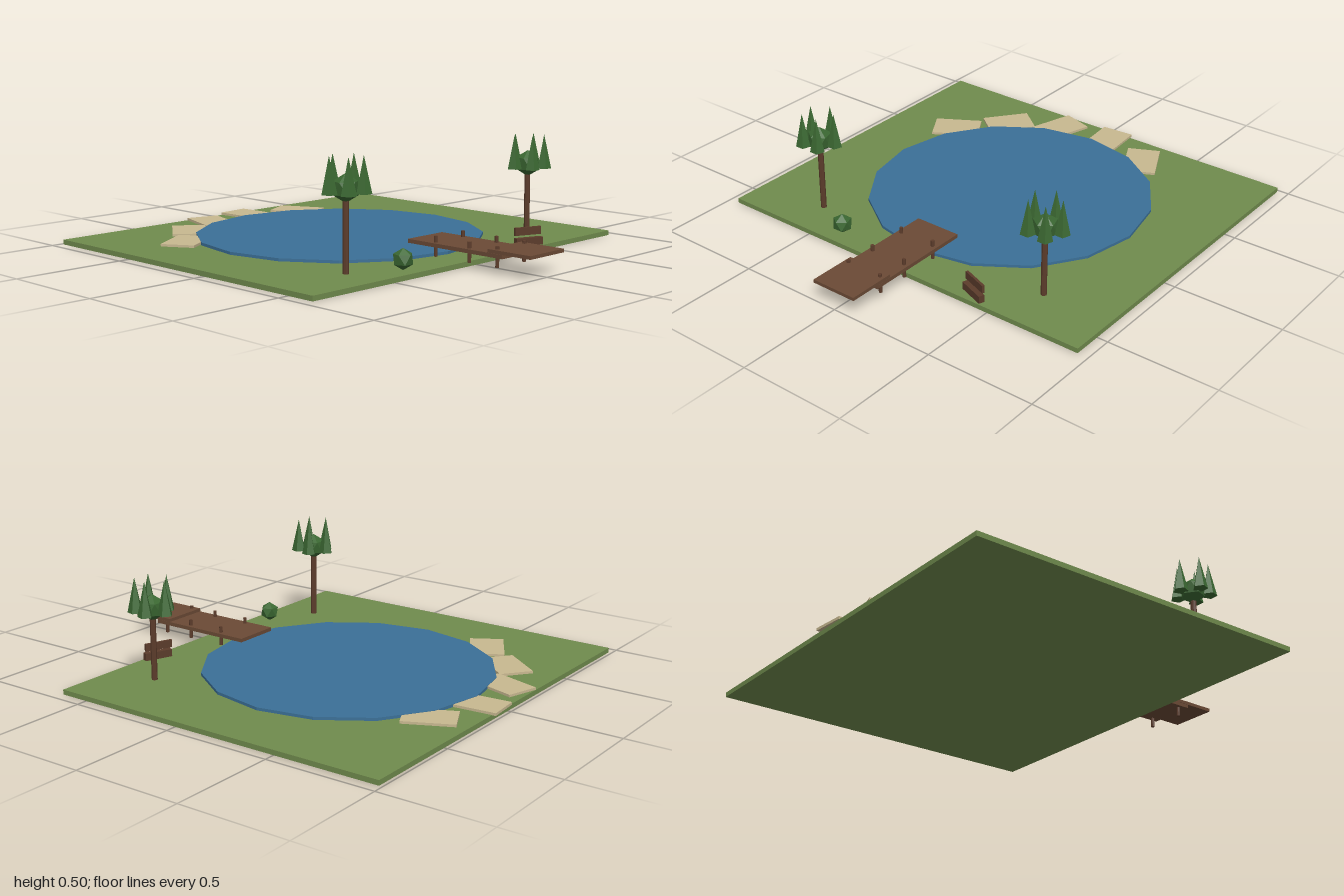
import * as THREE from 'three';

const mat = (name, color) => Object.assign(new THREE.MeshStandardMaterial({ color, flatShading: true }), { name });

export function createModel() {
  const grass = mat('grass', 0x708b4d);
  const water = mat('water', 0x3b7097);
  const sand = mat('sandstone', 0xc8b890);
  const plank = mat('plank wood', 0x6b4a35);
  const bark = mat('bark', 0x5c3c2b);
  const leaf = mat('leaves', 0x3b6832);

  const root = new THREE.Group();
  root.name = 'pondScene';

  const add = (parent, name, geo, m, x, y, z, ry = 0) => {
    const mesh = new THREE.Mesh(geo, m);
    mesh.name = name;
    mesh.position.set(x, y, z);
    mesh.rotation.y = ry;
    parent.add(mesh);
    return mesh;
  };
  const group = (name, x = 0, y = 0, z = 0, ry = 0) => {
    const g = new THREE.Group();
    g.name = name;
    g.position.set(x, y, z);
    g.rotation.y = ry;
    root.add(g);
    return g;
  };
  // Twenty-sided ball standing on a vertex
  const ball = (r) => new THREE.IcosahedronGeometry(r, 0)
    .rotateZ(Math.atan(2 / (1 + Math.sqrt(5))))
    .rotateY(Math.PI / 2);

  // Ground and pond
  add(root, 'ground', new THREE.BoxGeometry(1.9, 0.022, 1.62), grass, 0, 0.011, -0.175);
  add(root, 'pond', new THREE.CylinderGeometry(0.656, 0.656, 0.014, 16), water, 0, 0.028, -0.182);

  // Flat stones along the far shore: x, z and direction of the long side
  const stones = group('shoreStones');
  const stoneGeo = new THREE.BoxGeometry(0.228, 0.012, 0.155);
  [
    [-0.608, -0.535, 0.2, -0.12],
    [-0.432, -0.735, -0.14, 0.18],
    [-0.2, -0.853, -0.065, 0.215],
    [0.062, -0.882, 0.017, 0.22],
    [0.315, -0.803, 0.1, 0.205],
  ].forEach(([x, z, dx, dz], i) =>
    add(stones, 'stone' + (i + 1), stoneGeo, sand, x, 0.027, z, Math.atan2(-dz, dx)));

  // Dock: two overlapping decks on three pairs of posts
  const dock = group('dock');
  add(dock, 'innerDeck', new THREE.BoxGeometry(0.22, 0.017, 0.515), plank, 0, 0.078, 0.6);
  add(dock, 'outerDeck', new THREE.BoxGeometry(0.22, 0.015, 0.22), plank, 0, 0.0945, 0.89);
  const postGeo = new THREE.CylinderGeometry(0.008, 0.008, 0.088, 8);
  for (const z of [0.482, 0.667, 0.815])
    for (const x of [-0.088, 0.088]) add(dock, 'dockPost', postGeo, bark, x, 0.07, z);

  // Trees: a trunk, a round core and a ring of five narrow cones
  for (const [name, x, z, drop] of [['rightTree', -0.588, 0.447, 0], ['leftTree', 0.622, 0.41, 0.02]]) {
    const tree = group(name, x, 0, z);
    const h = 0.32 - drop;
    add(tree, 'trunk', new THREE.CylinderGeometry(0.013, 0.013, h - 0.02, 8), bark, 0, 0.02 + (h - 0.02) / 2, 0);
    add(tree, 'crownCore', ball(0.06), leaf, 0, 0.368 - drop, 0);
    for (let i = 0; i < 5; i++) {
      const a = Math.PI + (i * Math.PI * 2) / 5;
      add(tree, 'crownCone', new THREE.ConeGeometry(0.034, 0.155, 5), leaf,
        Math.sin(a) * 0.073, 0.424 - drop, Math.cos(a) * 0.073, a);
    }
  }

  // Bush
  add(root, 'bush', ball(0.046), leaf, -0.369, 0.066, 0.555);

  // Bench turned slightly towards the dock
  const bench = group('bench', 0.4, 0, 0.593, -0.36);
  add(bench, 'seat', new THREE.BoxGeometry(0.132, 0.034, 0.026), bark, 0, 0.04, 0.002);
  add(bench, 'backrest', new THREE.BoxGeometry(0.132, 0.035, 0.012), bark, 0, 0.085, -0.007);

  return root;
}
